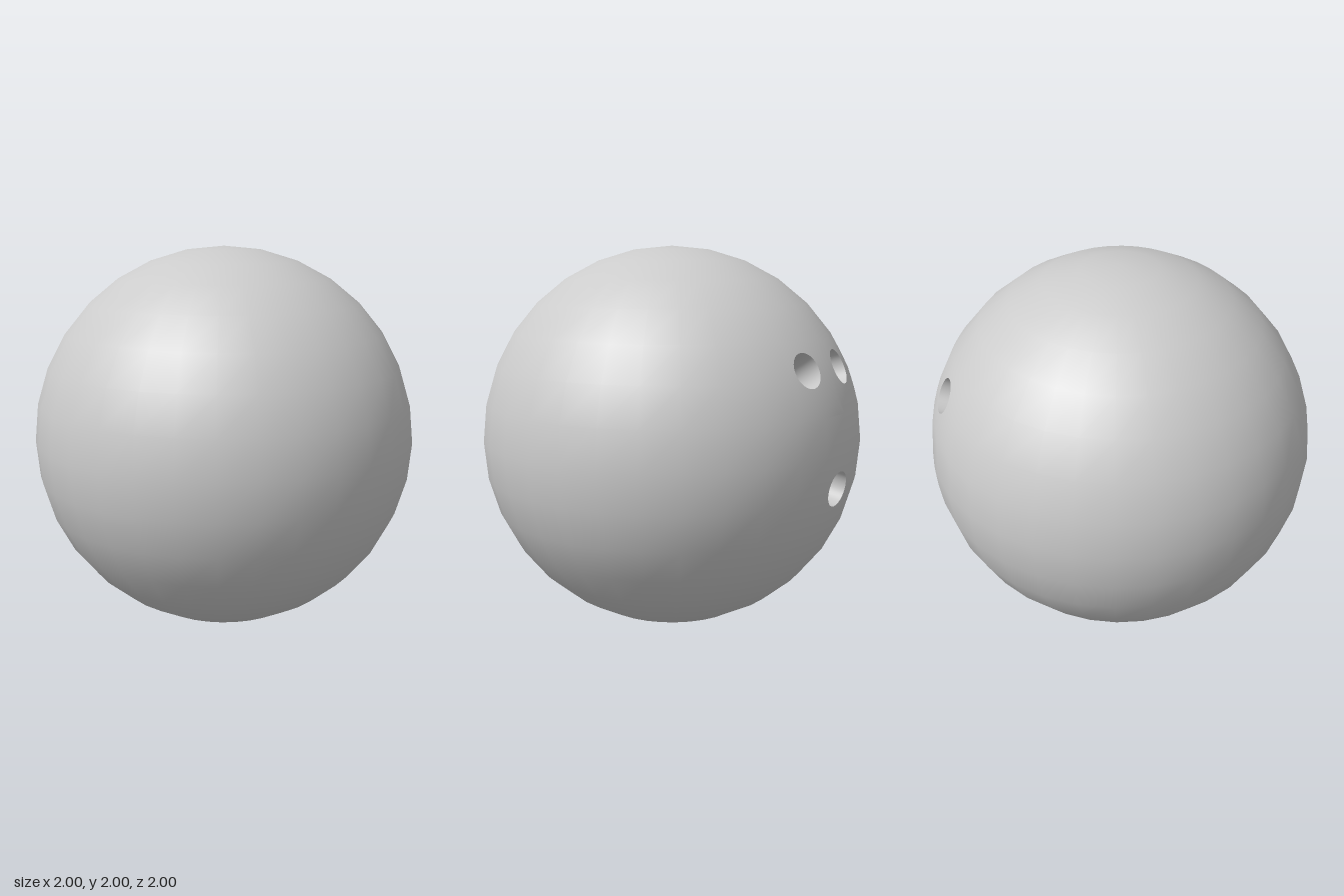
import * as THREE from 'three';

const STEP = Math.PI / 16;   // one grid cell of the 32 x 16 ball
const HOLE_R = 0.09;
const HOLE_DEPTH = 0.3;

// Each hole: y/z of its mouth about the ball centre, drilling axis, and the 2 x 2 grid block it sits in
const HOLES = [
  { name: 'frontFingerHole', y: 0.42, z: -0.13, axis: [0.87, 0.49, -0.02], block: [0, 1] },
  { name: 'backFingerHole', y: 0.412, z: -0.44, axis: [0.91, 0.29, -0.28], block: [2, 1] },
  { name: 'thumbHole', y: -0.17, z: -0.32, axis: [0.8, -0.26, -0.53], block: [1, -2] },
];

// Point on the unit ball at grid coordinates (i = longitude, j = latitude)
function ballPoint(i, j) {
  const lon = i * STEP, lat = j * STEP;
  return new THREE.Vector3(
    Math.cos(lon) * Math.cos(lat), Math.sin(lat), -Math.sin(lon) * Math.cos(lat));
}

// Counter-clockwise outline of a 2 x 2 block, with each cell edge subdivided
function blockOutline([i0, j0], sub = 6) {
  const corners = [[0, 0], [1, 0], [2, 0], [2, 1], [2, 2], [1, 2], [0, 2], [0, 1]]
    .map(([i, j]) => ballPoint(i0 + i, j0 + j));
  return corners.flatMap((p, k) => Array.from({ length: sub },
    (_, s) => p.clone().lerp(corners[(k + 1) % 8], s / sub)));
}

// Outline, rim and floor rings of one hole
function holeRings({ y, z, axis, block }) {
  const a = new THREE.Vector3(...axis).normalize();
  const mouth = new THREE.Vector3(Math.sqrt(1 - y * y - z * z), y, z);
  const floorCentre = mouth.clone().addScaledVector(a, -HOLE_DEPTH);
  const outline = blockOutline(block);
  const rim = [], floor = [];
  for (const p of outline) {
    const off = p.clone().sub(mouth);
    off.addScaledVector(a, -off.dot(a)).setLength(HOLE_R);
    const q = mouth.clone().add(off), d = q.dot(a);
    rim.push(q.addScaledVector(a, Math.sqrt(d * d - q.lengthSq() + 1) - d));
    floor.push(floorCentre.clone().add(off));
  }
  return { outline, rim, floor, floorCentre, a };
}

// Call tri for the band between two closed rings
function band(outer, inner, tri) {
  outer.forEach((p, m) => {
    const n = (m + 1) % outer.length;
    tri(p, outer[n], inner[n]);
    tri(p, inner[n], inner[m]);
  });
}

// Collects triangles; normalOf(point, faceNormal) gives each corner's normal
function buildGeometry(fill, normalOf) {
  const pos = [], nor = [];
  fill((...pts) => pts.forEach((p) => {
    pos.push(...p.toArray());
    nor.push(...normalOf(p).toArray());
  }));
  const g = new THREE.BufferGeometry();
  g.setAttribute('position', new THREE.Float32BufferAttribute(pos, 3));
  g.setAttribute('normal', new THREE.Float32BufferAttribute(nor, 3));
  return g;
}

export function createModel() {
  const material = new THREE.MeshStandardMaterial({ color: 0xcccccc, roughness: 0.6 });
  const ball = new THREE.Group();
  ball.name = 'ball';
  ball.position.y = 1;
  const add = (name, geometry) => {
    const mesh = new THREE.Mesh(geometry, material);
    mesh.name = name;
    ball.add(mesh);
  };
  const holes = HOLES.map((h) => ({ ...h, ...holeRings(h) }));
  const inBlock = (i, j) => HOLES.some(({ block: [a, b] }) =>
    i >= a && i < a + 2 && j >= b && j < b + 2);

  // Outer skin: plain grid cells, plus rings blending each block into its hole rim
  add('ballSkin', buildGeometry((tri) => {
    for (let i = 0; i < 32; i++) {
      for (let j = -8; j < 8; j++) {
        if (inBlock(i, j)) continue;
        const a = ballPoint(i, j), b = ballPoint(i + 1, j);
        const c = ballPoint(i + 1, j + 1), d = ballPoint(i, j + 1);
        if (j > -8) tri(a, b, c);
        if (j < 7) tri(a, c, d);
        else continue;
      }
    }
    for (const { outline, rim } of holes) {
      let previous = outline;
      for (const t of [0.33, 0.67, 1]) {
        const ring = t === 1 ? rim
          : outline.map((p, m) => p.clone().lerp(rim[m], t).normalize());
        band(previous, ring, tri);
        previous = ring;
      }
    }
  }, (p) => p.clone().normalize()));

  // Hole walls (smooth, facing the axis) and flat floors
  for (const { name, rim, floor, floorCentre, a } of holes) {
    add(name + 'Wall', buildGeometry((tri) => band(rim, floor, tri), (p) => {
      const n = floorCentre.clone().sub(p);
      return n.addScaledVector(a, -n.dot(a)).normalize();
    }));
    add(name + 'Floor', buildGeometry((tri) => floor.forEach((p, m) =>
      tri(p, floor[(m + 1) % floor.length], floorCentre)), () => a));
  }

  const model = new THREE.Group();
  model.name = 'drilledBall';
  model.add(ball);
  return model;
}
